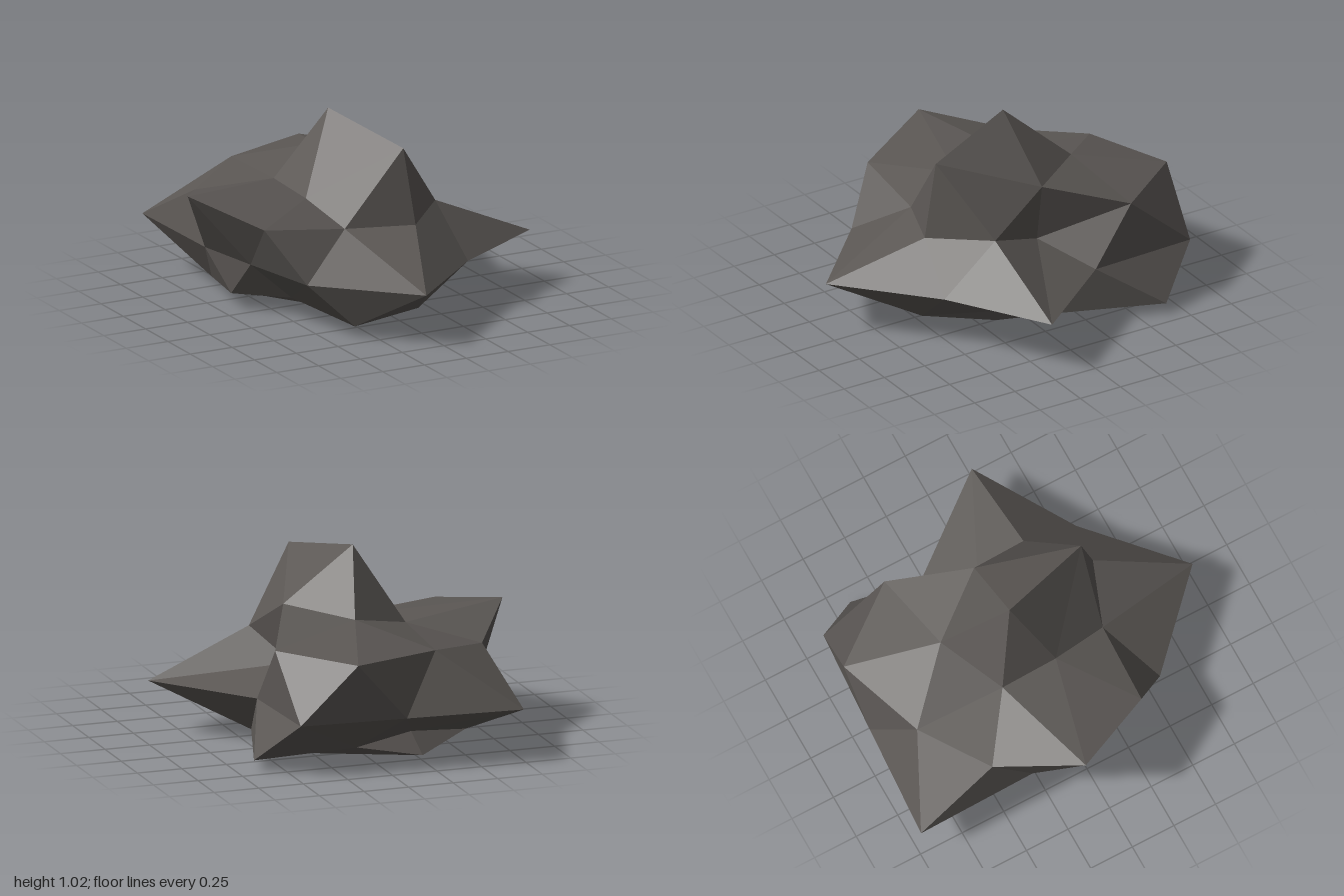
import * as THREE from 'three';

// Horizontal reach of each point, ring by ring from top to bottom (icosphere layout).
// start and step are degrees around y; slope lists the height per unit of reach.
const RINGS = [
  { start: 0, step: 72, slope: [1.146], reach: [0.39, 0.55, 0.27, 0.29, 0.37] },
  { start: 0, step: 36, slope: [0.354, 0.4375], reach: [0.34, 0.57, 0.64, 0.50, 0.77, 0.84, 0.71, 0.71, 0.89, 0.73] },
  { start: 18, step: 36, slope: [0], reach: [1.08, 0.82, 1.10, 0.80, 0.59, 0.66, 1.09, 0.84, 0.99, 0.64] },
  { start: 0, step: 36, slope: [-0.4375, -0.354], reach: [0.57, 0.53, 0.66, 0.80, 0.44, 0.58, 0.62, 0.50, 0.56, 0.93] },
  { start: 36, step: 72, slope: [-1.146], reach: [0.48, 0.40, 0.38, 0.60, 0.55] },
];
const CENTRE = new THREE.Vector3(-0.10, 0.29, -0.11);

// The underside is pressed nearly flat where it rests on the ground
const FLAT = -0.2176;
const settle = (y) => (y < FLAT ? FLAT + (y - FLAT) * 0.15 : y);

function point(reach, degrees, height) {
  const a = THREE.MathUtils.degToRad(degrees);
  return new THREE.Vector3(reach * Math.cos(a), settle(height), reach * Math.sin(a)).add(CENTRE);
}

function rockGeometry() {
  const rings = RINGS.map(({ start, step, slope, reach }) =>
    reach.map((r, i) => point(r, start + i * step, r * slope[i % slope.length])));
  const [a, b, e, d, f] = rings.map((ring) => (i) => ring[(i + ring.length) % ring.length]);
  const top = point(0, 0, 0.735);
  const bottom = point(0, 0, -0.67);

  const corners = [];
  const face = (...p) => corners.push(...p);

  // Crown and underside
  for (let j = 0; j < 5; j++) {
    const k = 2 * j;
    face(top, a(j + 1), a(j));
    face(a(j), b(k + 1), b(k));
    face(a(j), b(k), b(k - 1));
    face(a(j), a(j + 1), b(k + 1));
    face(f(j), d(k), d(k + 1));
    face(f(j), d(k + 1), d(k + 2));
    face(d(k + 2), f(j + 1), f(j));
    face(bottom, f(j), f(j + 1));
  }
  // Bands above and below the waist
  for (let k = 0; k < 10; k++) {
    face(b(k), b(k + 1), e(k));
    face(b(k), e(k), e(k - 1));
    face(e(k), d(k + 1), d(k));
    face(d(k), e(k - 1), e(k));
  }

  const geometry = new THREE.BufferGeometry().setFromPoints(corners);
  geometry.computeVertexNormals(); // unshared corners give flat facets
  return geometry;
}

export function createModel() {
  const group = new THREE.Group();
  group.name = 'rock';
  const stone = new THREE.MeshStandardMaterial({ color: 0x5a5653, flatShading: true });
  stone.name = 'darkStone';
  const boulder = new THREE.Mesh(rockGeometry(), stone);
  boulder.name = 'boulder';
  group.add(boulder);
  return group;
}
